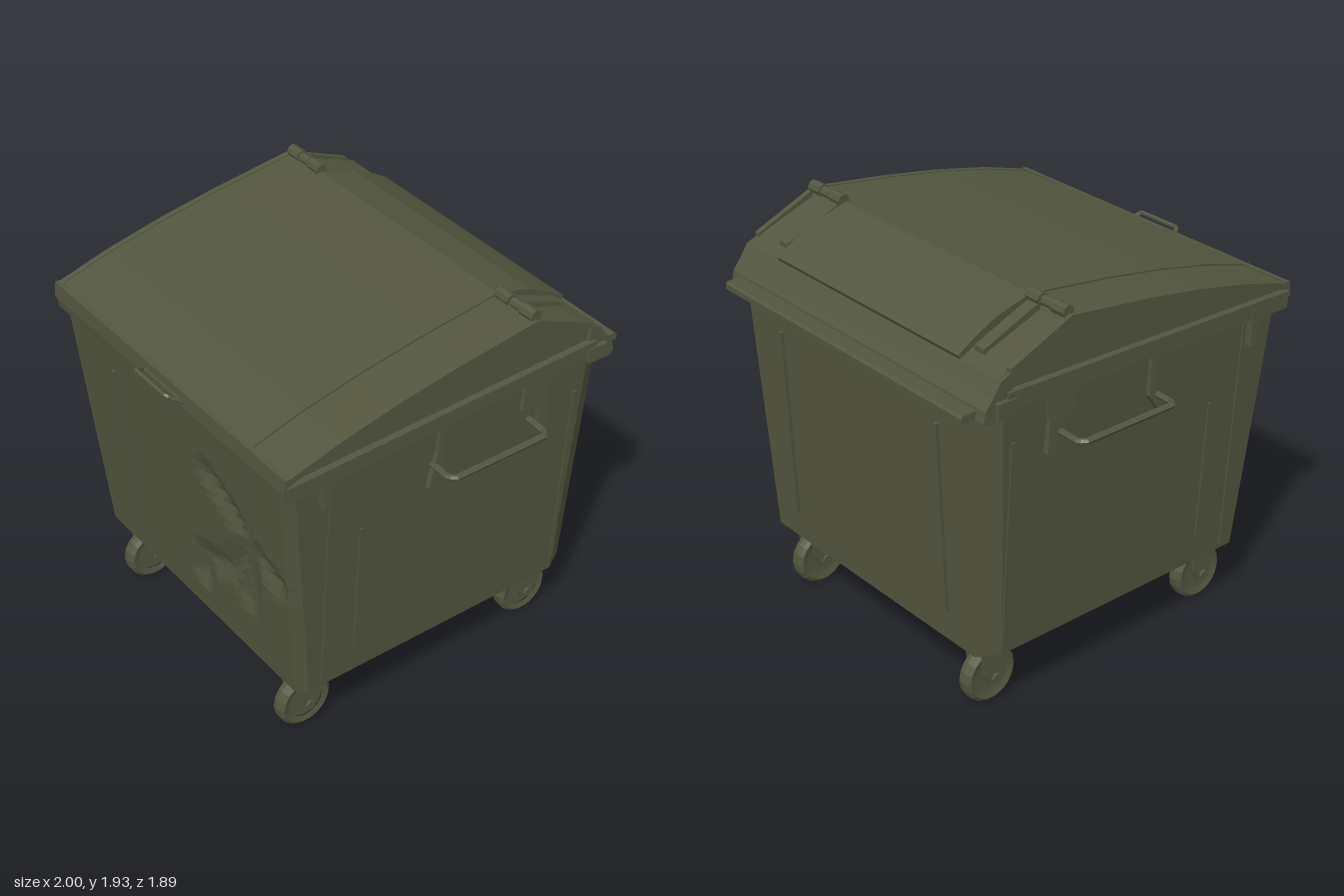
import * as THREE from 'three';

export function createModel() {
  const model = new THREE.Group();
  const paint = new THREE.MeshStandardMaterial({ color: 0x53563f, flatShading: true });
  paint.name = 'olive paint';

  const add = (name, geometry, parent = model) => {
    const mesh = new THREE.Mesh(geometry, paint);
    mesh.name = name;
    parent.add(mesh);
    return mesh;
  };
  const box = (name, w, h, d, x, y, z, parent) => {
    const m = add(name, new THREE.BoxGeometry(w, h, d), parent);
    m.position.set(x, y, z);
    return m;
  };
  // Side profile of [z, y] points, extruded across x from x0 to x1
  const profile = (name, points, x0, x1, parent) => {
    const shape = new THREE.Shape(points.map(p => new THREE.Vector2(p[0], p[1])));
    const g = new THREE.ExtrudeGeometry(shape, { depth: x1 - x0, bevelEnabled: false });
    g.rotateY(-Math.PI / 2).translate(x1, 0, 0);
    return add(name, g, parent);
  };
  // Round bar through corner points with straight runs
  const bar = (name, points, r, parent) => {
    const path = new THREE.CurvePath();
    const v = points.map(p => new THREE.Vector3(...p));
    for (let i = 1; i < v.length; i++) path.add(new THREE.LineCurve3(v[i - 1], v[i]));
    return add(name, new THREE.TubeGeometry(path, 36, r, 6), parent);
  };

  // Tapered wall positions at height y
  const Y0 = 0.33, Y1 = 1.57;
  const taper = (a, b, y) => a + (b - a) * (y - Y0) / (Y1 - Y0);
  const sideX = y => taper(0.785, 0.86, y);
  const frontZ = y => taper(0.74, 0.852, y);
  const backZ = y => taper(-0.805, -0.855, y);

  // Crumpled crease lines in the front wall
  const creases = [
    [[0.07, 0.55], [0.11, 0.69], [0.31, 0.76], [0.43, 0.9], [0.5, 1.04], [0.4, 1.15], [0.24, 1.25]],
    [[0.44, 0.68], [0.52, 1.02], [0.7, 0.95]],
  ].map(c => c.map(p => new THREE.Vector3(p[0], p[1], 0)));
  const dent = (x, y) => {
    const p = new THREE.Vector3(x, y, 0), q = new THREE.Vector3();
    let d = 1;
    for (const c of creases) for (let i = 1; i < c.length; i++) {
      new THREE.Line3(c[i - 1], c[i]).closestPointToPoint(p, true, q);
      d = Math.min(d, q.distanceTo(p));
    }
    return 0.035 * Math.max(0, 1 - d / 0.1);
  };

  // Body: stacked chamfered loops, front wall subdivided for the dents
  const FRONT = 40, ROWS = 30, pos = [], index = [];
  const ringAt = y => {
    const x = sideX(y), f = frontZ(y), b = backZ(y), ring = [];
    for (let i = 0; i <= FRONT; i++) {
      const px = (x - 0.04) * (2 * i / FRONT - 1);
      ring.push([px, f - dent(px, y)]);
    }
    ring.push([x, f - 0.05], [x, b + 0.1], [x - 0.06, b], [-x + 0.06, b], [-x, b + 0.1], [-x, f - 0.05]);
    return ring;
  };
  const n = ringAt(Y0).length;
  for (let j = 0; j <= ROWS; j++) {
    const y = Y0 + (Y1 - Y0) * j / ROWS;
    ringAt(y).forEach(p => pos.push(p[0], y, p[1]));
  }
  for (let j = 0; j < ROWS; j++) for (let i = 0; i < n; i++) {
    const a = j * n + i, b = j * n + (i + 1) % n;
    index.push(a, b, b + n, a, b + n, a + n);
  }
  pos.push(0, Y0, 0);
  for (let i = 0; i < n; i++) index.push(pos.length / 3 - 1, (i + 1) % n, i);
  const body = new THREE.BufferGeometry();
  body.setAttribute('position', new THREE.Float32BufferAttribute(pos, 3));
  body.setIndex(index);
  body.computeVertexNormals();
  add('body', body);

  // Pressed ribs on the walls, leaning with the taper
  const wallRib = (name, x, y0, y1, zAt) => {
    const m = box(name, 0.018, y1 - y0, 0.016, x, (y0 + y1) / 2, zAt((y0 + y1) / 2));
    m.rotation.x = Math.atan((zAt(y1) - zAt(y0)) / (y1 - y0));
  };
  wallRib('frontRib', -0.47, 0.38, 1.4, frontZ);
  wallRib('frontRib', 0.54, 0.36, 1.52, frontZ);
  for (const s of [-1, 1]) {
    wallRib('backRib', s * 0.55, 0.48, 1.42, y => backZ(y) - 0.008);
    for (const [z, y0, y1] of [[0.45, 0.48, 1.18], [-0.7, 0.4, 1.4], [0.62, 0.36, 1.55]]) {
      const m = box('sideRib', 0.016, y1 - y0, 0.018, s * sideX((y0 + y1) / 2), (y0 + y1) / 2, z);
      m.rotation.z = -s * Math.atan(0.075 / 1.24);
    }
  }

  // Rim, its rear shoulder and the lifting ledge
  profile('rim', [[0.862, 1.53], [0.868, 1.59], [-0.8, 1.635], [-0.8, 1.58]], -0.885, 0.885);
  profile('rearShoulder', [[-0.72, 1.6], [-0.74, 1.74], [-0.79, 1.72], [-0.83, 1.66], [-0.87, 1.61],
    [-0.88, 1.56], [-0.85, 1.54], [-0.78, 1.56]], -0.885, 0.885);
  profile('rearLedge', [[-0.84, 1.56], [-0.84, 1.6], [-0.94, 1.595], [-0.95, 1.585], [-0.95, 1.56]], -0.83, 0.83);

  // Lid: raised middle panel, lower side panels, overhanging edges
  const top = [[0.86, 1.655], [0.6, 1.73], [0.3, 1.795], [0, 1.845], [-0.42, 1.9]];
  const lidBase = [[-0.74, 1.62], [0.86, 1.585]];
  const lower = d => top.map(p => [p[0], p[1] - d]);
  profile('lidMiddle', [...top, [-0.6, 1.85], [-0.72, 1.79], [-0.8, 1.74], ...lidBase], -0.63, 0.63);
  for (const s of [-1, 1]) {
    const span = (a, b) => s > 0 ? [a, b] : [-b, -a];
    profile('lidSide', [...lower(0.008), [-0.44, 1.86], [-0.7, 1.765], [-0.79, 1.72], ...lidBase], ...span(0.63, 0.868));
    profile('lidEdge', [...lower(0.004), [-0.74, 1.76], [-0.74, 1.735], ...lower(0.035).reverse()], ...span(0.86, 0.888));
    profile('lidSkirt', [[0.86, 1.595], [0.86, 1.62], [-0.76, 1.665], [-0.76, 1.635]], ...span(0.86, 0.9));
    // Hinge knuckles and their straps
    for (const [x, w, r] of [[0.675, 0.08, 0.03], [0.755, 0.06, 0.024], [0.83, 0.08, 0.03]]) {
      const k = add('hingeKnuckle', new THREE.CylinderGeometry(r, r, w, 8));
      k.rotation.z = Math.PI / 2;
      k.position.set(s * x, 1.905, -0.425);
    }
    profile('hingeStrap', [[-0.42, 1.9], [-0.56, 1.845], [-0.73, 1.775], [-0.73, 1.75], [-0.42, 1.86]], ...span(0.65, 0.71));
  }
  profile('lidFrontLip', [[0.845, 1.58], [0.845, 1.66], [0.868, 1.658], [0.875, 1.585]], -0.888, 0.888);

  // Front lid handle
  bar('lidHandle', [[-0.15, 1.6, 0.86], [-0.12, 1.645, 0.93], [0.12, 1.645, 0.93], [0.15, 1.6, 0.86]], 0.011);
  box('lidHandlePlate', 0.3, 0.03, 0.012, 0, 1.605, 0.876);

  // Side handles with hanging brackets and corner tabs
  for (const s of [-1, 1]) {
    const side = new THREE.Group();
    side.name = 'sideHandle';
    model.add(side);
    bar('handleBar', [[s * 0.84, 1.36, 0.09], [s * 0.95, 1.355, 0.09], [s * 0.985, 1.36, 0.075],
      [s * 0.985, 1.36, -0.425], [s * 0.95, 1.355, -0.44], [s * 0.84, 1.36, -0.44]], 0.015, side);
    const x0 = s > 0 ? 0.845 : -0.872, x1 = x0 + 0.027;
    profile('handleBracket', [[0.07, 1.59], [0.05, 1.59], [0.045, 1.36], [0.12, 1.25], [0.1, 1.34], [0.08, 1.42]].reverse(), x0, x1, side);
    profile('handleBracket', [[-0.4, 1.6], [-0.54, 1.6], [-0.52, 1.44], [-0.53, 1.29], [-0.48, 1.29], [-0.48, 1.41], [-0.38, 1.44]].reverse(), x0, x1, side);
    box('cornerTab', 0.04, 0.18, 0.04, s * 0.868, 1.5, 0.66);
    box('rearTab', 0.03, 0.07, 0.1, s * 0.892, 1.6, -0.77);
  }

  // Swivel casters: plate, neck, fork cheeks, tyre and hub
  for (const s of [-1, 1]) for (const z of [0.62, -0.66]) {
    const caster = new THREE.Group();
    caster.name = 'caster';
    caster.position.set(s * 0.63, 0, z);
    model.add(caster);
    box('casterPlate', 0.18, 0.022, 0.19, 0, 0.327, 0, caster);
    box('casterNeck', 0.12, 0.035, 0.14, 0, 0.3, 0, caster);
    for (const c of [-1, 1]) {
      profile('forkCheek', [[-0.075, 0.31], [-0.06, 0.17], [-0.03, 0.11], [0.03, 0.11], [0.05, 0.16], [0.08, 0.31]],
        c * 0.055 - 0.007, c * 0.055 + 0.007, caster);
    }
    const tyre = new THREE.LatheGeometry([[0.09, -0.03], [0.12, -0.038], [0.137, -0.024], [0.14, 0], [0.137, 0.024],
      [0.12, 0.038], [0.09, 0.03], [0.001, 0.024]].map(p => new THREE.Vector2(...p)), 18);
    const back = new THREE.CylinderGeometry(0.092, 0.092, 0.05, 18);
    for (const [name, g] of [['tyre', tyre], ['wheelDisc', back], ['axle', new THREE.CylinderGeometry(0.024, 0.024, 0.15, 8)]]) {
      const m = add(name, g, caster);
      m.rotation.z = Math.PI / 2;
      m.position.y = 0.14;
    }
  }
  return model;
}
